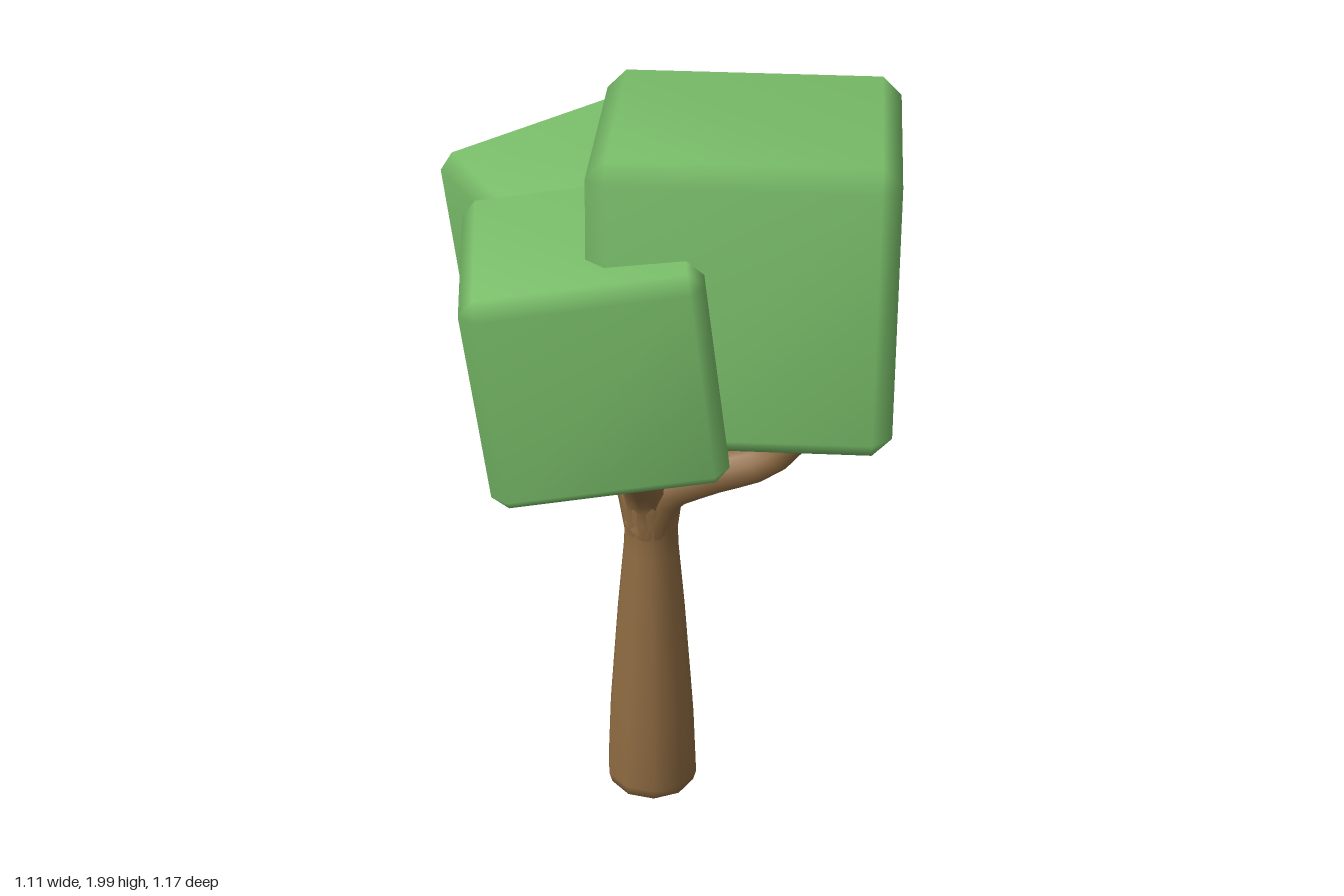
import * as THREE from 'three';

const bark = new THREE.MeshStandardMaterial({ color: 0x8f6b42 });
bark.name = 'bark brown';
const leaf = new THREE.MeshStandardMaterial({ color: 0x7abf6a });
leaf.name = 'leaf green';

// Cube with single-step chamfers and shared vertices, so the edges shade softly
function chamferedCube(size, bevel) {
  const h = size / 2, pos = [], index = [];
  // one vertex per face axis and corner; corner bits 1, 2, 4 mean +x, +y, +z
  const id = (axis, corner) => axis * 8 + corner;
  for (let axis = 0; axis < 3; axis++)
    for (let corner = 0; corner < 8; corner++)
      for (let k = 0; k < 3; k++)
        pos.push((corner >> k & 1 ? 1 : -1) * (k === axis ? h : h - bevel));
  const at = (i) => new THREE.Vector3().fromArray(pos, i * 3);
  const tri = (a, b, c) => {
    const A = at(a), n = at(b).sub(A).cross(at(c).sub(A));
    index.push(...(n.dot(A) > 0 ? [a, b, c] : [a, c, b]));
  };
  const quad = (a, b, c, d) => { tri(a, b, c); tri(a, c, d); };
  for (let a = 0; a < 3; a++) {
    const b = (a + 1) % 3, c = (a + 2) % 3;
    const A = 1 << a, B = 1 << b, C = 1 << c;
    // flat faces
    for (const s of [0, A]) quad(id(a, s), id(a, s + B), id(a, s + B + C), id(a, s + C));
    // edge chamfers
    for (const s of [0, A, B, A + B]) quad(id(a, s), id(a, s + C), id(b, s + C), id(b, s));
  }
  // corner triangles
  for (let s = 0; s < 8; s++) tri(id(0, s), id(1, s), id(2, s));
  const geo = new THREE.BufferGeometry();
  geo.setAttribute('position', new THREE.Float32BufferAttribute(pos, 3));
  geo.setIndex(index);
  geo.computeVertexNormals();
  return geo;
}

// Tube along a smooth path that narrows from r0 to r1
function taperedTube(points, r0, r1) {
  const curve = new THREE.CatmullRomCurve3(points.map((p) => new THREE.Vector3(...p)));
  const rings = 14, sides = 10;
  const geo = new THREE.TubeGeometry(curve, rings, 1, sides);
  const p = geo.attributes.position, v = new THREE.Vector3();
  for (let i = 0; i < p.count; i++) {
    const t = Math.floor(i / (sides + 1)) / rings;
    const centre = curve.getPointAt(t);
    const r = r1 + (r0 - r1) * Math.pow(1 - t, 1.5);
    v.fromBufferAttribute(p, i).sub(centre).multiplyScalar(r).add(centre);
    p.setXYZ(i, v.x, v.y, v.z);
  }
  return geo;
}

export function createModel() {
  const tree = new THREE.Group();
  tree.name = 'tree';
  const add = (name, geo, mat) => {
    const mesh = new THREE.Mesh(geo, mat);
    mesh.name = name;
    tree.add(mesh);
    return mesh;
  };

  // Trunk: wide foot, narrow neck, slight flare into the fork
  const profile = [[0, 0.005], [0.09, 0.01], [0.112, 0.025], [0.12, 0.055], [0.112, 0.25],
    [0.09, 0.55], [0.072, 0.75], [0.069, 0.82], [0.078, 0.89], [0.08, 0.95], [0.05, 1.0], [0, 1.01]];
  const trunkGeo = new THREE.LatheGeometry(profile.map(([x, y]) => new THREE.Vector2(x, y)), 10);
  add('trunk', trunkGeo, bark).position.set(-0.052, 0, 0.065);

  // Branches, each ending inside its block of leaves
  add('leftBranch', taperedTube([[-0.06, 0.82, 0.07], [-0.02, 0.93, 0.085], [0.09, 0.99, 0.11],
    [0.23, 1.05, 0.14], [0.295, 1.13, 0.15], [0.32, 1.26, 0.16], [0.33, 1.36, 0.165]], 0.066, 0.039), bark);
  add('frontBranch', taperedTube([[-0.055, 0.82, 0.07], [-0.065, 0.93, 0.09], [-0.09, 1.06, 0.19],
    [-0.115, 1.19, 0.3], [-0.13, 1.32, 0.37]], 0.066, 0.04), bark);
  add('backBranch', taperedTube([[-0.055, 0.82, 0.065], [-0.085, 0.93, 0.03], [-0.13, 1.0, -0.07],
    [-0.16, 1.05, -0.16], [-0.17, 1.14, -0.205], [-0.175, 1.26, -0.22]], 0.066, 0.04), bark);

  // Leaf blocks: size, bevel, centre, then yaw, pitch and roll in degrees
  const blocks = [
    ['largeLeafBlock', 0.7, 0.045, [0.17, 1.62, 0.165], [-6, -6, 0]],
    ['frontLeafBlock', 0.55, 0.036, [-0.19, 1.49, 0.305], [0, 0, 7]],
    ['backLeafBlock', 0.55, 0.036, [-0.18, 1.42, -0.225], [25, 0, 7]],
  ];
  for (const [name, size, bevel, centre, turn] of blocks) {
    const [yaw, pitch, roll] = turn.map(THREE.MathUtils.degToRad);
    const block = add(name, chamferedCube(size, bevel), leaf);
    block.position.set(...centre);
    block.rotation.set(pitch, yaw, roll, 'YXZ');
  }
  return tree;
}
